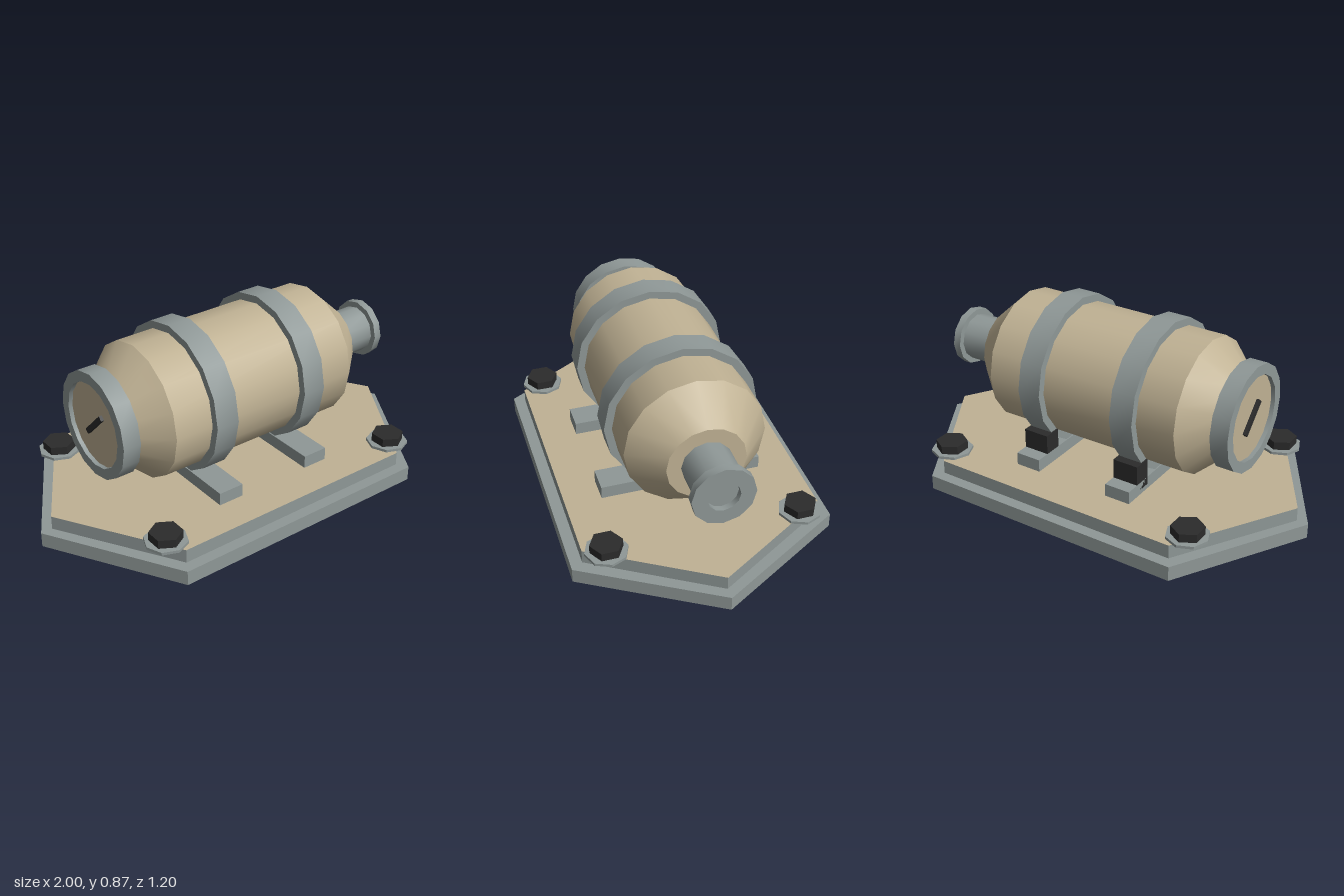
import * as THREE from 'three';
import { toCreasedNormals } from 'three/addons/utils/BufferGeometryUtils.js';

const material = (name, color) => new THREE.MeshStandardMaterial({ name, color });

export function createModel() {
  const tan = material('tan', 0xc0b294);
  const gray = material('steelGray', 0x8f9897);
  const dark = material('darkMetal', 0x2b2b2b);
  const root = new THREE.Group();
  root.name = 'canisterOnBase';
  const AXIS_Y = 0.513;

  const add = (name, geometry, mat, x = 0, y = 0, z = 0, parent = root) => {
    const mesh = new THREE.Mesh(geometry, mat);
    mesh.name = name;
    mesh.position.set(x, y, z);
    parent.add(mesh);
    return mesh;
  };

  // Six-sided plate with pointed ends
  const plate = (tip, corner, halfDepth, height) => {
    const shape = new THREE.Shape([
      [tip, 0], [corner, halfDepth], [-corner, halfDepth],
      [-tip, 0], [-corner, -halfDepth], [corner, -halfDepth],
    ].map(([x, y]) => new THREE.Vector2(x, y)));
    return new THREE.ExtrudeGeometry(shape, { depth: height, bevelEnabled: false }).rotateX(-Math.PI / 2);
  };

  // Turned part along x from [radius, x] points, with crisp profile edges
  const turned = (points, sides) => toCreasedNormals(
    new THREE.LatheGeometry(points.map(([r, x]) => new THREE.Vector2(r, x)), sides).rotateZ(-Math.PI / 2), 0.6);
  const ring = (inner, outer, x0, x1, sides) => turned(
    [[outer, x0], [outer, x1], [inner, x1], [inner, x0], [outer, x0]], sides);

  // Stepped base
  add('basePlate', plate(1, 0.645, 0.6, 0.07), gray);
  add('deckPlate', plate(0.945, 0.613, 0.547, 0.065), [tan, gray], 0, 0.07);

  // Corner bolts on washers
  for (const x of [-0.645, 0.645]) for (const z of [-0.445, 0.445]) {
    const bolt = new THREE.Group();
    bolt.name = 'cornerBolt';
    bolt.position.set(x, 0.135, z);
    root.add(bolt);
    add('washer', new THREE.CylinderGeometry(0.098, 0.098, 0.013, 8), gray, 0, 0.0065, 0, bolt);
    add('boltHead', new THREE.CylinderGeometry(0.075, 0.075, 0.04, 6).toNonIndexed(), dark, 0, 0.033, 0, bolt);
  }
  root.traverse((o) => {
    if (o.name === 'washer' || o.name === 'boltHead') o.geometry = toCreasedNormals(o.geometry, 0.6);
  });

  // Canister body with tapered ends
  add('body', turned([[0, -0.643], [0.178, -0.643], [0.319, -0.49], [0.319, 0.49], [0.178, 0.643], [0, 0.643]], 16),
    tan, 0, AXIS_Y);

  // Straps, saddle bars and rear clamps
  for (const x of [-0.246, 0.244]) {
    add('strap', ring(0.3, 0.355, -0.057, 0.057, 16), gray, x, AXIS_Y);
    add('saddleBar', new THREE.BoxGeometry(0.125, 0.062, 0.756), gray, x, 0.165);
    add('clamp', new THREE.BoxGeometry(0.125, 0.132, 0.087), dark, x, 0.224, -0.268);
  }

  // Rimmed end cap with slot
  add('capRim', ring(0.2, 0.25, -0.71, -0.625, 16), gray, 0, AXIS_Y);
  add('capFace', turned([[0, -0.69], [0.205, -0.69], [0.205, -0.64], [0, -0.64]], 16), tan, 0, AXIS_Y);
  const slot = add('capSlot', new THREE.BoxGeometry(0.016, 0.17, 0.025), dark, -0.697, AXIS_Y);
  slot.rotation.x = Math.PI / 4;

  // Outlet nozzle with hollow flange
  add('nozzle', turned([[0, 0.63], [0.113, 0.63], [0.113, 0.835], [0, 0.835]], 12), gray, 0, AXIS_Y);
  add('nozzleFlange', ring(0.072, 0.141, 0.825, 0.863, 12), gray, 0, AXIS_Y);

  return root;
}
